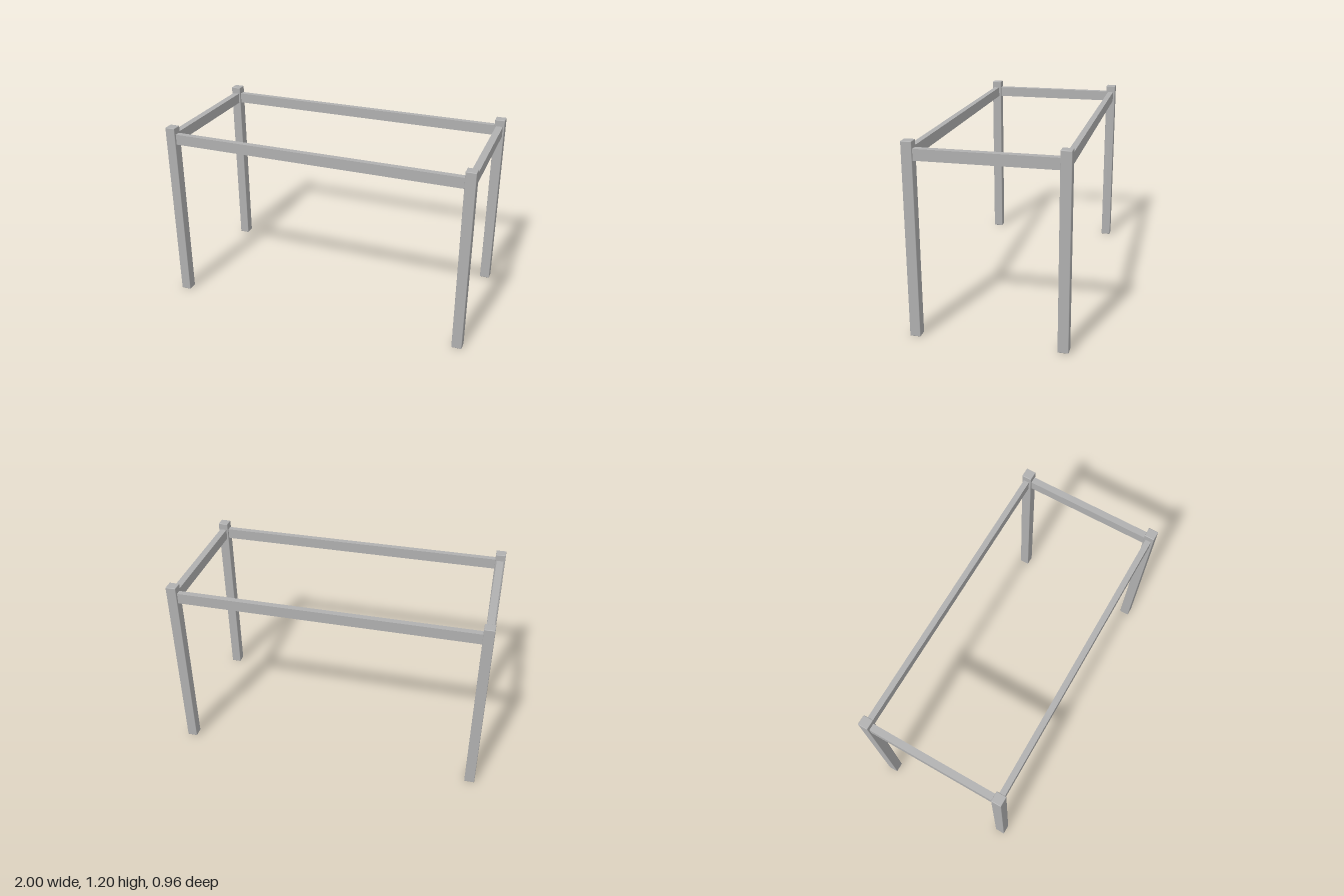
import * as THREE from 'three';
import { RoundedBoxGeometry } from 'three/addons/geometries/RoundedBoxGeometry.js';

export function createModel() {
  const model = new THREE.Group();
  model.name = 'tableFrame';

  const metal = new THREE.MeshStandardMaterial({ color: 0xb0b0b0 });
  metal.name = 'greyMetal';

  const HEIGHT = 1.2, LEG = 0.065;
  const LEG_X = 1 - LEG / 2, LEG_Z = 0.48 - LEG / 2; // leg centres
  const RAIL_H = 0.068, RAIL_Y = 1.122;

  const add = (name, geometry, x, y, z) => {
    const mesh = new THREE.Mesh(geometry, metal);
    mesh.name = name;
    mesh.position.set(x, y, z);
    model.add(mesh);
  };

  // Square posts with slightly eased edges
  const legGeo = new RoundedBoxGeometry(LEG, HEIGHT, LEG, 2, 0.004);
  for (const [sx, side] of [[1, 'Left'], [-1, 'Right']]) {
    for (const [sz, end] of [[1, 'front'], [-1, 'back']]) {
      add(`${end}${side}Leg`, legGeo, sx * LEG_X, HEIGHT / 2, sz * LEG_Z);
    }
  }

  // Rails span between the inner faces of the legs
  const longRail = new THREE.BoxGeometry(2 * LEG_X - LEG, RAIL_H, 0.037);
  const shortRail = new THREE.BoxGeometry(0.044, RAIL_H, 2 * LEG_Z - LEG);
  add('frontRail', longRail, 0, RAIL_Y, LEG_Z);
  add('backRail', longRail, 0, RAIL_Y, -LEG_Z);
  add('leftRail', shortRail, LEG_X, RAIL_Y, 0);
  add('rightRail', shortRail, -LEG_X, RAIL_Y, 0);

  return model;
}
